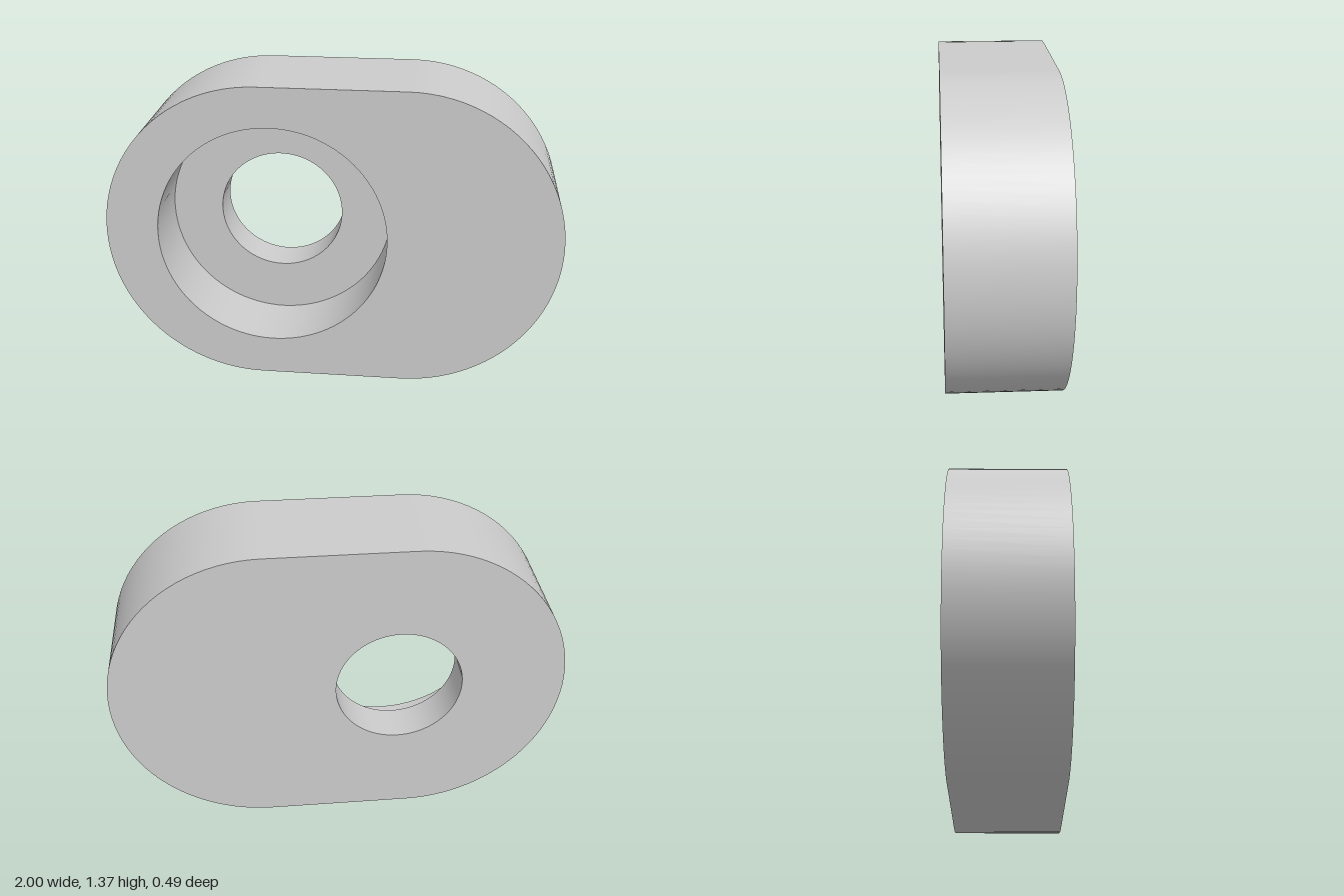
import * as THREE from 'three';

const R = 0.683;            // end radius of the slot-shaped plate
const SHIFT = 0.317;        // distance of each end's centre from the middle
const HALF = 0.244;         // half thickness
const FLOOR = -0.066;       // z of the counterbore floor
const HOLE_X = -0.263, HOLE_R = 0.279, BORE_R = 0.506;
const SEGS = 96;

// Outline: two half circles joined by straight edges, with outward normals
function outline() {
  const points = [], normals = [];
  for (let half = 0; half < 2; half++) {
    for (let i = 0; i <= SEGS / 2; i++) {
      const a = -Math.PI / 2 + half * Math.PI + (i / SEGS) * Math.PI * 2;
      const n = new THREE.Vector2(Math.cos(a), Math.sin(a));
      normals.push(n);
      points.push(new THREE.Vector2(n.x * R + (half ? -SHIFT : SHIFT), n.y * R));
    }
  }
  return { points, normals };
}

// Smooth wall swept through the thickness
function wallGeometry({ points, normals }) {
  const pos = [], nor = [], index = [];
  const count = points.length;
  points.forEach((p, i) => {
    pos.push(p.x, p.y, -HALF, p.x, p.y, HALF);
    nor.push(normals[i].x, normals[i].y, 0, normals[i].x, normals[i].y, 0);
    const a = i * 2, b = ((i + 1) % count) * 2;
    index.push(a, b, b + 1, a, b + 1, a + 1);
  });
  const g = new THREE.BufferGeometry();
  g.setAttribute('position', new THREE.Float32BufferAttribute(pos, 3));
  g.setAttribute('normal', new THREE.Float32BufferAttribute(nor, 3));
  g.setIndex(index);
  return g;
}

// Flat face with a round opening
function faceGeometry(points, holeX, holeRadius) {
  const shape = new THREE.Shape(points);
  const ring = [];
  for (let i = 0; i < SEGS; i++) {
    const a = (i / SEGS) * Math.PI * 2;
    ring.push(new THREE.Vector2(holeX + holeRadius * Math.cos(a), holeRadius * Math.sin(a)));
  }
  shape.holes.push(new THREE.Path(ring));
  return new THREE.ShapeGeometry(shape);
}

// One turned step of the stepped hole, from (r0, z0) to (r1, z1)
function turned(r0, z0, r1, z1) {
  const profile = [new THREE.Vector2(r0, z0), new THREE.Vector2(r1, z1)];
  return new THREE.LatheGeometry(profile, SEGS).rotateX(Math.PI / 2).translate(HOLE_X, 0, 0);
}

export function createModel() {
  const group = new THREE.Group();
  group.name = 'counterboredPlate';
  const material = new THREE.MeshStandardMaterial({ color: 0xcccccc });
  const add = (name, geometry) => {
    const mesh = new THREE.Mesh(geometry.translate(0, R, 0), material);
    mesh.name = name;
    group.add(mesh);
  };

  // Plate body; the back face is turned round, so its hole starts on the opposite side
  const edge = outline();
  add('outerWall', wallGeometry(edge));
  add('frontFace', faceGeometry(edge.points, HOLE_X, BORE_R).translate(0, 0, HALF));
  add('backFace', faceGeometry(edge.points, -HOLE_X, HOLE_R).rotateY(Math.PI).translate(0, 0, -HALF));

  // Stepped hole
  add('counterboreWall', turned(BORE_R, HALF, BORE_R, FLOOR));
  add('counterboreFloor', turned(BORE_R, FLOOR, HOLE_R, FLOOR));
  add('holeWall', turned(HOLE_R, FLOOR, HOLE_R, -HALF));
  return group;
}
